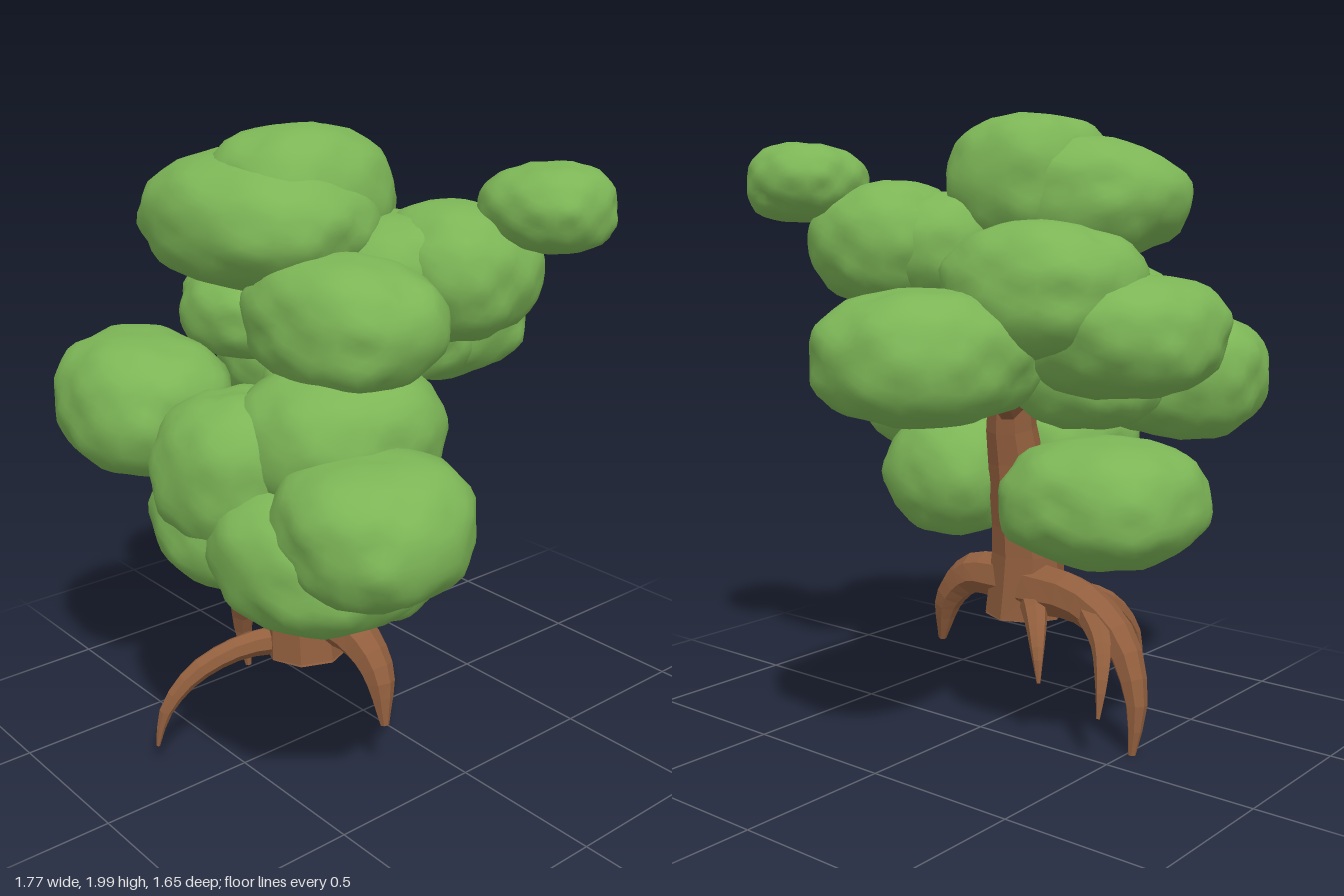
import * as THREE from 'three';
import { mergeVertices } from 'three/addons/utils/BufferGeometryUtils.js';

const leaf = new THREE.MeshStandardMaterial({ color: 0x7cb556 });
leaf.name = 'leaf green';
const bark = new THREE.MeshStandardMaterial({ color: 0x925f3e, flatShading: true });
bark.name = 'bark brown';

// Tapered, faceted limb along a curve; each point is [x, y, z, radius]
function limb(name, points, sides = 7, steps = 10) {
  const curve = new THREE.CatmullRomCurve3(points.map(p => new THREE.Vector3(p[0], p[1], p[2])));
  const geo = new THREE.TubeGeometry(curve, steps, 1, sides, false);
  const pos = geo.attributes.position;
  const v = new THREE.Vector3();
  for (let i = 0; i <= steps; i++) {
    const t = i / steps;
    const f = t * (points.length - 1);
    const k = Math.min(Math.floor(f), points.length - 2);
    const r = THREE.MathUtils.lerp(points[k][3], points[k + 1][3], f - k);
    // TubeGeometry spaces its rings by arc length
    const c = curve.getPointAt(t);
    for (let j = 0; j <= sides; j++) {
      const n = i * (sides + 1) + j;
      v.fromBufferAttribute(pos, n).sub(c).multiplyScalar(r).add(c);
      pos.setXYZ(n, v.x, v.y, v.z);
    }
  }
  geo.computeVertexNormals();
  const mesh = new THREE.Mesh(geo, bark);
  mesh.name = name;
  return mesh;
}

// Lumpy, slightly boxy ball of leaves
function clump(name, [x, y, z, rx, ry, rz], seed) {
  let geo = new THREE.IcosahedronGeometry(1, 7);
  geo.deleteAttribute('normal');
  geo.deleteAttribute('uv');
  geo = mergeVertices(geo, 1e-4);
  const pos = geo.attributes.position;
  const v = new THREE.Vector3();
  for (let i = 0; i < pos.count; i++) {
    v.fromBufferAttribute(pos, i);
    const e = 2.45;
    const box = Math.pow(Math.abs(v.x) ** e + Math.abs(v.y) ** e + Math.abs(v.z) ** e, -1 / e);
    const lump = Math.abs(Math.sin(v.x * 3.1 + seed) + Math.sin(v.y * 3.7 + seed * 2.3) + Math.sin(v.z * 3.3 + seed * 1.7));
    const ripple = Math.sin(v.x * 9 + seed) * Math.sin(v.y * 8 + seed * 3) * Math.sin(v.z * 9 - seed);
    v.multiplyScalar(box * (0.96 + 0.025 * lump + 0.035 * ripple));
    pos.setXYZ(i, v.x * rx, v.y * ry, v.z * rz);
  }
  geo.computeVertexNormals();
  const mesh = new THREE.Mesh(geo, leaf);
  mesh.name = name;
  mesh.position.set(x, y, z);
  return mesh;
}

export function createModel() {
  const tree = new THREE.Group();
  tree.name = 'tree';

  // Trunk with a flat underside
  tree.add(limb('trunk', [
    [0.01, 0.34, 0.25, 0.135], [0.0, 0.58, 0.25, 0.12], [0.02, 0.82, 0.22, 0.095],
    [0.02, 1.06, 0.18, 0.075], [-0.04, 1.3, 0.18, 0.05], [-0.12, 1.6, 0.22, 0.045],
  ], 8, 12));
  const base = new THREE.Mesh(new THREE.CylinderGeometry(0.125, 0.135, 0.03, 8), bark);
  base.name = 'trunkBase';
  base.position.set(0.01, 0.352, 0.25);
  tree.add(base);

  // Arched roots ending in points
  const roots = {
    leftOutRoot: [[0.06, 0.46, 0.22, 0.08], [0.2, 0.45, 0.21, 0.07], [0.3, 0.36, 0.2, 0.05], [0.35, 0.19, 0.21, 0.014]],
    rightOutRoot: [[-0.05, 0.44, 0.22, 0.09], [-0.27, 0.435, 0.19, 0.075], [-0.44, 0.34, 0.16, 0.06],
      [-0.52, 0.17, 0.13, 0.04], [-0.52, 0.005, 0.11, 0.012]],
    frontRoot: [[-0.02, 0.38, 0.3, 0.05], [-0.07, 0.375, 0.46, 0.04], [-0.12, 0.31, 0.6, 0.035],
      [-0.15, 0.2, 0.69, 0.025], [-0.16, 0.08, 0.72, 0.006]],
    backRoot: [[-0.06, 0.41, 0.2, 0.05], [-0.15, 0.37, 0.1, 0.04], [-0.21, 0.29, 0.03, 0.025], [-0.23, 0.2, 0.01, 0.006]],
    forkRoot: [[-0.32, 0.41, 0.16, 0.045], [-0.42, 0.35, 0.08, 0.035], [-0.47, 0.25, 0.01, 0.022], [-0.48, 0.15, -0.02, 0.006]],
  };
  for (const [name, pts] of Object.entries(roots)) tree.add(limb(name, pts));

  // Branches reaching into the foliage
  const branches = {
    lowBranch: [[0.0, 0.66, 0.23, 0.07], [-0.1, 0.75, 0.18, 0.06], [-0.2, 0.78, 0.13, 0.05], [-0.38, 0.81, 0.07, 0.03]],
    backBranch: [[0.02, 1.03, 0.18, 0.05], [-0.06, 1.1, 0.04, 0.035], [-0.13, 1.16, -0.14, 0.025], [-0.2, 1.25, -0.4, 0.02]],
    rightBranch: [[0.02, 1.05, 0.18, 0.045], [-0.15, 1.15, 0.1, 0.035], [-0.4, 1.28, 0, 0.02]],
  };
  for (const [name, pts] of Object.entries(branches)) tree.add(limb(name, pts));

  // Foliage: centre x, y, z then radii x, y, z
  const foliage = {
    crownPeak: [-0.04, 1.77, 0.21, 0.255, 0.228, 0.285],
    crownFront: [-0.12, 1.72, 0.3, 0.39, 0.2, 0.31],
    highTuft: [0.53, 1.775, -0.24, 0.19, 0.125, 0.18],
    upperLeftInner: [0.19, 1.56, 0.03, 0.24, 0.19, 0.24],
    upperLeftOuter: [0.32, 1.58, -0.09, 0.235, 0.2, 0.225],
    midLeft: [0.275, 1.485, 0.31, 0.32, 0.19, 0.24],
    backNear: [-0.14, 1.28, -0.3, 0.24, 0.17, 0.22],
    backFar: [-0.21, 1.275, -0.49, 0.295, 0.195, 0.335],
    backRight: [-0.42, 1.455, -0.24, 0.29, 0.195, 0.26],
    outerRight: [-0.61, 1.33, -0.1, 0.275, 0.18, 0.28],
    innerRight: [-0.38, 1.2, 0.03, 0.24, 0.17, 0.2],
    midRight: [-0.35, 1.38, 0.17, 0.23, 0.15, 0.22],
    frontRight: [-0.375, 1.155, 0.575, 0.305, 0.215, 0.25],
    lowRight: [-0.44, 0.81, 0.06, 0.31, 0.195, 0.3],
    frontCentre: [0.13, 1.06, 0.56, 0.25, 0.24, 0.25],
    frontLow: [0.1, 0.89, 0.51, 0.3, 0.19, 0.28],
    frontLeft: [0.41, 0.89, 0.51, 0.3, 0.205, 0.29],
    outerLeft: [0.61, 1.02, 0.49, 0.27, 0.2, 0.26],
    shoulderLeft: [0.33, 1.17, 0.37, 0.275, 0.215, 0.295],
    trunkTuft: [0.07, 1.21, 0.28, 0.14, 0.14, 0.13],
    underLeft: [0.31, 0.795, 0.235, 0.235, 0.215, 0.22],
  };
  Object.entries(foliage).forEach(([name, dims], i) => tree.add(clump(name + 'Foliage', dims, 1.3 * i + 0.7)));

  return tree;
}
